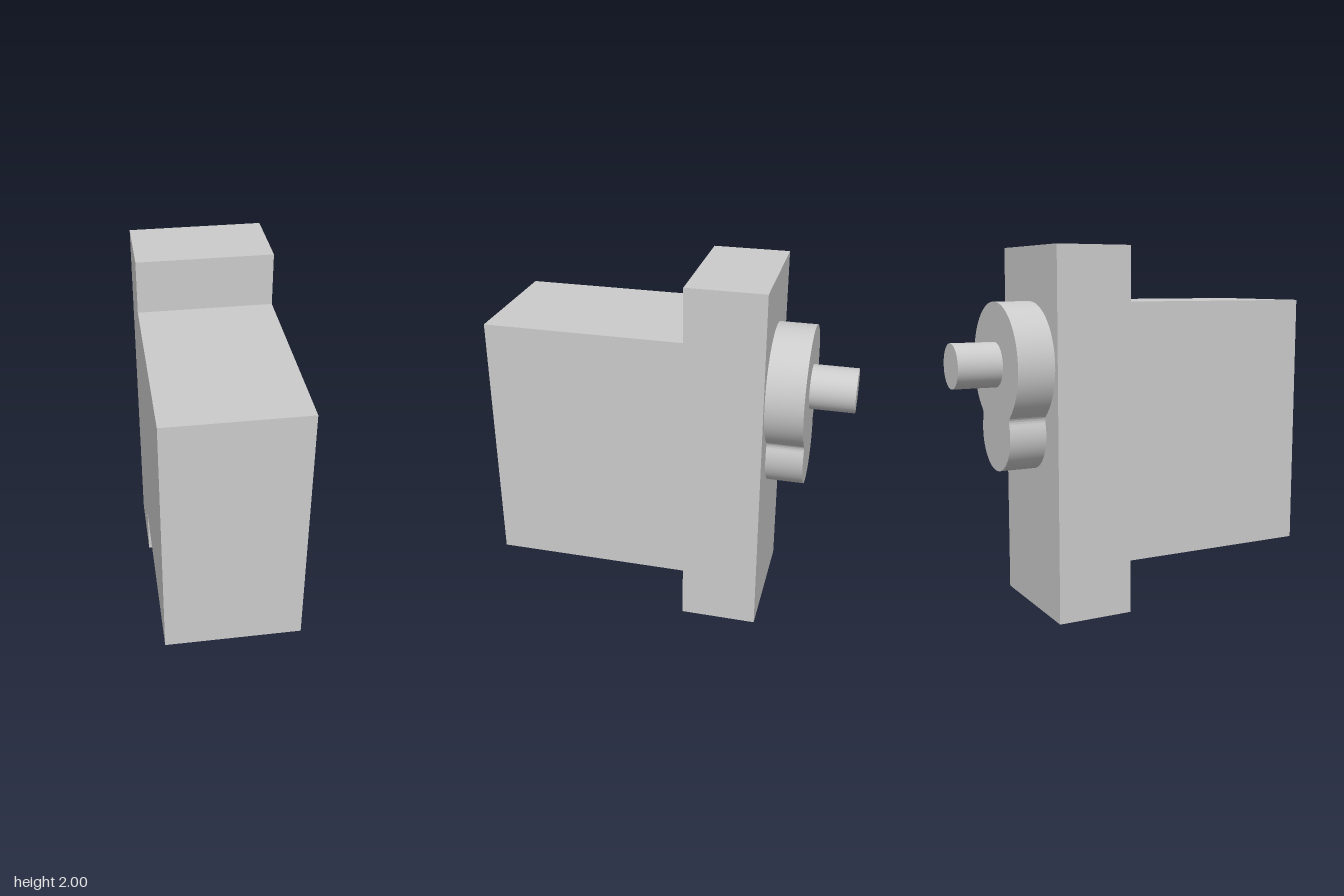
import * as THREE from 'three';
import { toCreasedNormals } from 'three/addons/utils/BufferGeometryUtils.js';

const material = new THREE.MeshStandardMaterial({ color: 0xcccccc });

function part(name, geometry) {
  const mesh = new THREE.Mesh(geometry, material);
  mesh.name = name;
  return mesh;
}

// Outline of a large and a small disc joined by fillets; origin at the large disc
function gearCoverShape(bigR, smallR, gap, filletR) {
  const a = bigR + filletR, b = smallR + filletR;
  const drop = (gap * gap + a * a - b * b) / (2 * gap);
  const fx = Math.sqrt(a * a - drop * drop);
  const big = Math.atan2(-drop, fx);            // large centre to right fillet
  const small = Math.atan2(gap - drop, fx);     // small centre to right fillet
  const shape = new THREE.Shape();
  shape.absarc(0, 0, bigR, big, Math.PI - big, false);
  shape.absarc(-fx, -drop, filletR, -big, -small, true);
  shape.absarc(0, -gap, smallR, Math.PI - small, 2 * Math.PI + small, false);
  shape.absarc(fx, -drop, filletR, Math.PI + small, Math.PI + big, true);
  return shape;
}

export function createModel() {
  const model = new THREE.Group();
  model.name = 'servoMotor';

  // Case with mounting ears: side profile (z, y) extruded across the width
  const width = 0.736;
  const profile = [
    [-0.533, 0], [-0.108, 0], [-0.108, 0.294], [0.983, 0.294],
    [0.983, 1.706], [-0.108, 1.706], [-0.108, 2], [-0.533, 2],
  ].map(([z, y]) => new THREE.Vector2(z, y));
  const caseGeometry = new THREE.ExtrudeGeometry(new THREE.Shape(profile), { depth: width, bevelEnabled: false });
  caseGeometry.translate(0, 0, -width / 2).rotateY(-Math.PI / 2);
  model.add(part('case', caseGeometry));

  // Raised gear cover on the back
  const shaftY = 1.37;
  const cover = new THREE.ExtrudeGeometry(gearCoverShape(0.336, 0.21, 0.37, 0.04), {
    depth: 0.205, bevelEnabled: false, curveSegments: 32,
  });
  cover.translate(0, shaftY, -0.738);
  model.add(part('gearCover', toCreasedNormals(cover, 0.6)));

  // Output shaft
  const shaft = new THREE.CylinderGeometry(0.122, 0.122, 0.245, 40);
  shaft.rotateX(Math.PI / 2).translate(0, shaftY, -0.8605);
  model.add(part('outputShaft', shaft));

  return model;
}
